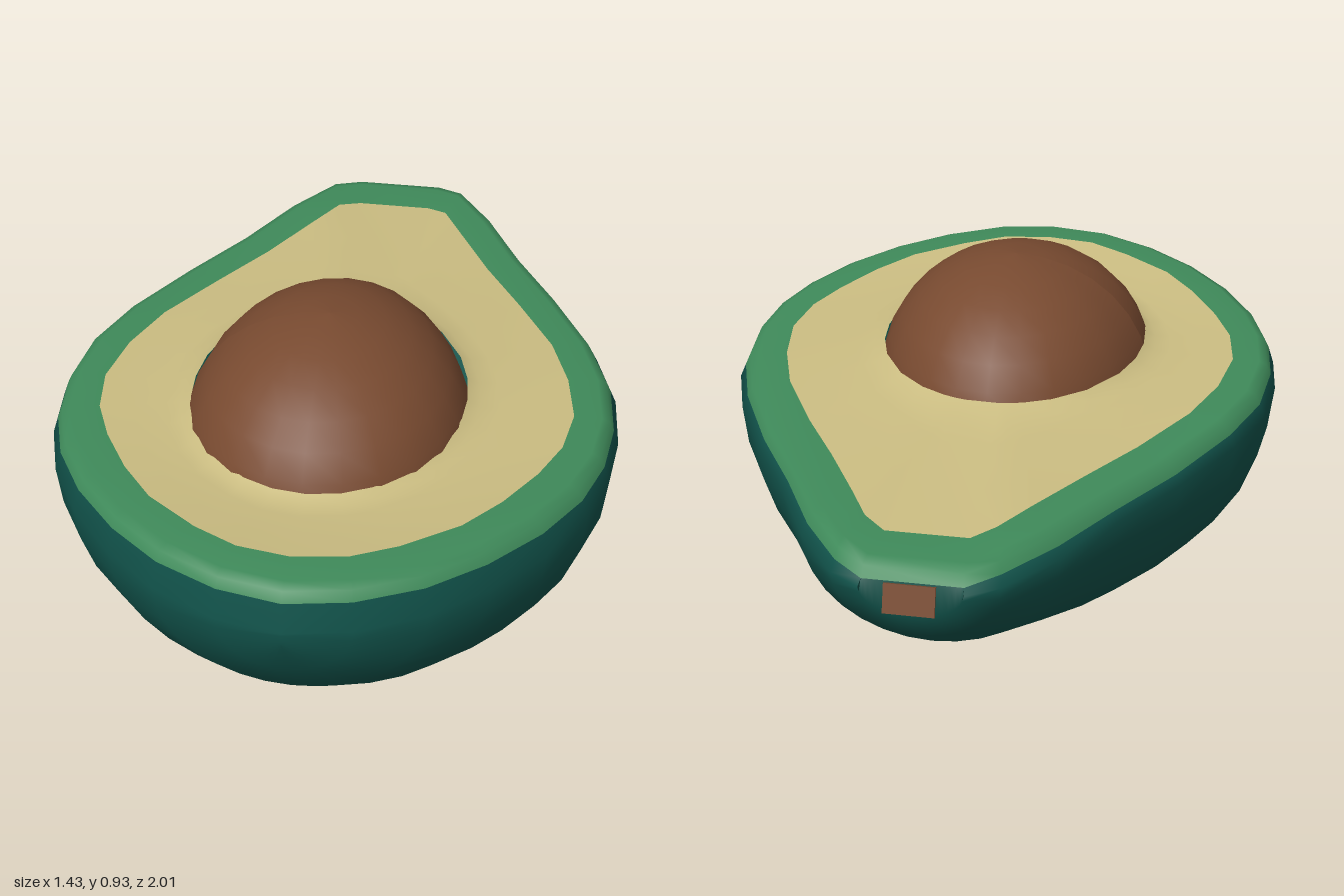
import * as THREE from 'three';
import { mergeVertices } from 'three/addons/utils/BufferGeometryUtils.js';

// One row per cross-section, front to back:
// z, half width, bottom y, rim y, flesh z, flesh half width
const ROWS = [
  [1.0, 0, 0.56, 0.705, 0.86, 0],
  [0.97, 0.16, 0.46, 0.705, 0.84, 0.13],
  [0.89, 0.32, 0.335, 0.7, 0.78, 0.24],
  [0.78, 0.45, 0.235, 0.695, 0.68, 0.37],
  [0.64, 0.57, 0.15, 0.688, 0.57, 0.455],
  [0.49, 0.655, 0.075, 0.68, 0.44, 0.53],
  [0.34, 0.7, 0.025, 0.675, 0.32, 0.58],
  [0.18, 0.715, 0, 0.67, 0.18, 0.6],
  [0, 0.7, 0.02, 0.665, 0.02, 0.575],
  [-0.18, 0.64, 0.075, 0.66, -0.14, 0.52],
  [-0.4, 0.53, 0.15, 0.652, -0.33, 0.415],
  [-0.6, 0.41, 0.24, 0.65, -0.5, 0.31],
  [-0.8, 0.305, 0.34, 0.653, -0.67, 0.215],
  [-0.95, 0.195, 0.45, 0.653, -0.78, 0.155],
  [-1.0, 0.12, 0.53, 0.64, -0.82, 0.1],
];
const LIP = 0.12; // how far the skin folds in towards the flesh
const SEED = { x: -0.015, y: 0.58, z: 0.19, rx: 0.365, ry: 0.345, rz: 0.45 };

const lerp = THREE.MathUtils.lerp;
const shift = (z) => (z < 0 ? -0.015 * z : 0); // neck leans slightly to one side

// Point between the outer outline (t = 0) and the flesh outline (t = 1)
function rimPoint(row, side, t, drop) {
  const [z, w, , rim, fz, fw] = row;
  return [side * lerp(w, fw, t) + shift(z), rim - drop, lerp(z, fz, t)];
}

// Closed loop around the cut face
function rimLoop(t, drop) {
  const left = ROWS.map((r) => rimPoint(r, 1, t, drop));
  const right = ROWS.slice(1).reverse().map((r) => rimPoint(r, -1, t, drop));
  return [...left, ...right, left[0]];
}

// Smooth surface through rows of points
function loft(rows) {
  const n = rows[0].length;
  const index = [];
  for (let u = 0; u < rows.length - 1; u++) {
    for (let v = 0; v < n - 1; v++) {
      const a = u * n + v;
      index.push(a, a + 1, a + n, a + 1, a + n + 1, a + n);
    }
  }
  const geometry = new THREE.BufferGeometry();
  geometry.setAttribute('position', new THREE.Float32BufferAttribute(rows.flat(2), 3));
  geometry.setIndex(index);
  const welded = mergeVertices(geometry, 1e-4);
  welded.computeVertexNormals();
  return welded;
}

// Skin: half-ellipse sections with a folded lip, closed by a blunt end
function skinGeometry() {
  const steps = 16;
  const rows = ROWS.map((row) => {
    const [z, w, bottom] = row;
    const mid = 0.595;
    const points = [rimPoint(row, 1, LIP, 0.035)];
    for (let i = 0; i <= steps; i++) {
      const a = (i / steps) * Math.PI;
      points.push([w * Math.cos(a) + shift(z), mid - (mid - bottom) * Math.sin(a), z]);
    }
    points.push(rimPoint(row, -1, LIP, 0.035));
    return points;
  });
  const last = rows[rows.length - 1];
  const [l, r] = [last[0], last[last.length - 1]];
  rows.push(last.map(([x]) => [THREE.MathUtils.clamp(x, r[0], l[0]), l[1], l[2]]));
  return loft(rows);
}

// Flesh: from its outline to the seed, swelling slightly where it meets it
function fleshGeometry() {
  const outline = rimLoop(1, 0);
  const rings = [[0, 0], [0.35, 0], [0.7, 0.002], [0.88, 0.006], [1, 0.022]];
  return loft(rings.map(([t, rise]) => outline.map(([x, y, z]) => {
    const a = Math.atan2((z - SEED.z) / SEED.rz, (x - SEED.x) / SEED.rx);
    const sx = SEED.x + SEED.rx * 0.95 * Math.cos(a);
    const sz = SEED.z + SEED.rz * 0.95 * Math.sin(a);
    return [lerp(x, sx, t), lerp(y, 0.672, t) + rise, lerp(z, sz, t)];
  })));
}

// Seed: an ellipsoid, a little narrower at the back
function seedGeometry() {
  const geometry = new THREE.SphereGeometry(1, 24, 16);
  const p = geometry.attributes.position;
  for (let i = 0; i < p.count; i++) p.setX(i, p.getX(i) * (1 + 0.07 * p.getZ(i)));
  geometry.scale(SEED.rx, SEED.ry, SEED.rz);
  geometry.computeVertexNormals();
  return geometry;
}

export function createModel() {
  const group = new THREE.Group();
  group.name = 'halvedFruit';
  const material = (name, color, side = THREE.FrontSide) => {
    const m = new THREE.MeshStandardMaterial({ color, side });
    m.name = name;
    return m;
  };
  const skinGreen = material('skinGreen', 0x11524a, THREE.DoubleSide);
  const rimGreen = material('rimGreen', 0x3f8a5a, THREE.DoubleSide);
  const fleshCream = material('fleshCream', 0xcbbd82, THREE.DoubleSide);
  const seedBrown = material('seedBrown', 0x784a30);

  const add = (name, geometry, mat) => {
    const mesh = new THREE.Mesh(geometry, mat);
    mesh.name = name;
    group.add(mesh);
    return mesh;
  };

  add('skin', skinGeometry(), skinGreen);
  add('greenRim', loft([rimLoop(LIP, 0.035), rimLoop(0.22, 0.01), rimLoop(0.4, 0), rimLoop(1, 0)]), rimGreen);
  add('flesh', fleshGeometry(), fleshCream);
  add('seed', seedGeometry(), seedBrown).position.set(SEED.x, SEED.y, SEED.z);

  // Stem scar on the blunt end
  const stem = add('stemScar', new THREE.BoxGeometry(0.12, 0.07, 0.009), seedBrown);
  stem.position.set(0.02, 0.568, -0.992);
  stem.rotation.x = 0.29;
  return group;
}
